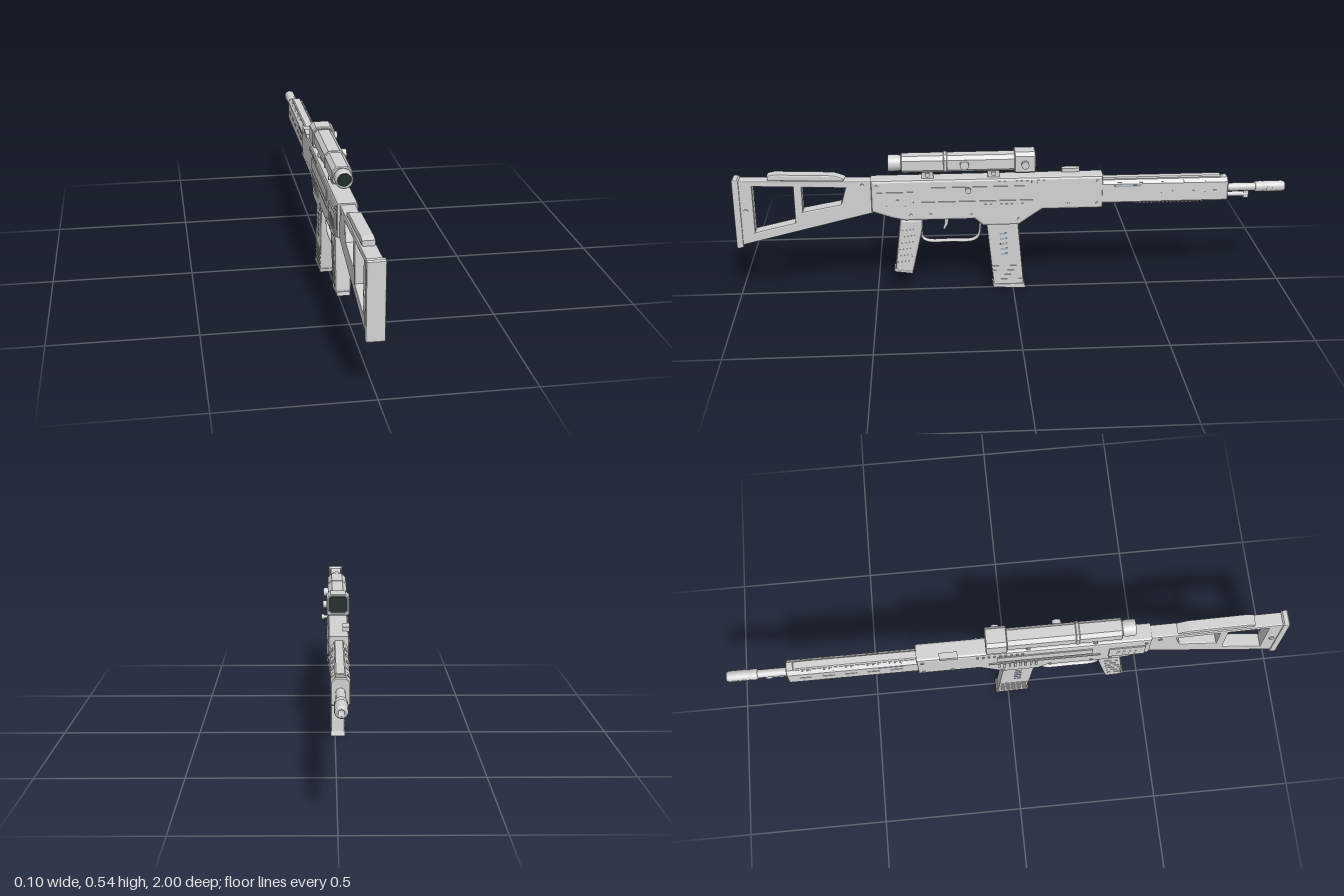
import * as THREE from 'three';

const grey = new THREE.MeshStandardMaterial({ color: 0xd2d2d2 });
grey.name = 'body grey';
const blueGrey = new THREE.MeshStandardMaterial({ color: 0x9fb2c4 });
blueGrey.name = 'pale blue grey';
const glass = new THREE.MeshStandardMaterial({ color: 0x1f2a2c });
glass.name = 'dark glass';

export function createModel() {
  const root = new THREE.Group();
  root.name = 'rifle';
  const rifle = new THREE.Group();
  rifle.name = 'rifleParts';
  rifle.position.x = -0.01;
  root.add(rifle);

  const add = (name, geo, mat = grey) => {
    const m = new THREE.Mesh(geo, mat);
    m.name = name;
    rifle.add(m);
    return m;
  };
  const box = (name, w, h, d, x, y, z, mat) => {
    const m = add(name, new THREE.BoxGeometry(w, h, d), mat);
    m.position.set(x, y, z);
    return m;
  };
  // Side profile of [z, y] points, extruded across x with bevelled edges
  const side = (name, pts, width, bevel, holes = []) => {
    const flip = (list) => list.map(([z, y]) => new THREE.Vector2(-z, y));
    const shape = new THREE.Shape(flip(pts));
    for (const h of holes) shape.holes.push(new THREE.Path(flip(h)));
    const g = new THREE.ExtrudeGeometry(shape, {
      depth: width - 2 * bevel, bevelEnabled: true, bevelSize: bevel,
      bevelThickness: bevel, bevelOffset: -bevel, bevelSegments: 2,
    });
    g.translate(0, 0, -width / 2 + bevel);
    g.rotateY(Math.PI / 2);
    return add(name, g);
  };
  // Chamfered rectangle outline: half width, bottom, top, chamfers
  const octagon = (w, b, t, ct, cb = ct) => [
    [-w + cb, b], [w - cb, b], [w, b + cb], [w, t - ct],
    [w - ct, t], [-w + ct, t], [-w, t - ct], [-w, b + cb],
  ].map(([x, y]) => new THREE.Vector2(x, y));
  // Cross-section swept along z from z0 to z1 (z0 < z1)
  const sweep = (name, outline, z0, z1, hole) => {
    const bevel = 0.003;
    const shape = new THREE.Shape(outline);
    if (hole) shape.holes.push(new THREE.Path(hole));
    const g = new THREE.ExtrudeGeometry(shape, {
      depth: z1 - z0 - 2 * bevel, bevelEnabled: true, bevelSize: bevel,
      bevelThickness: bevel, bevelOffset: -bevel, bevelSegments: 1,
    });
    g.translate(0, 0, z0 + bevel);
    return add(name, g);
  };
  // Turned part from [radius, distance] points, along +z or -z
  const turned = (name, pts, y, dir) => {
    const g = new THREE.LatheGeometry(pts.map(([r, t]) => new THREE.Vector2(r, t)), 32);
    g.rotateX(dir * Math.PI / 2);
    g.translate(0, y, 0);
    return add(name, g);
  };
  const rod = (name, r, z0, z1, y, mat) => {
    const g = new THREE.CylinderGeometry(r, r, z1 - z0, 24);
    g.rotateX(Math.PI / 2);
    g.translate(0, y, (z0 + z1) / 2);
    return add(name, g, mat);
  };
  // Pin or knob lying across x
  const pin = (name, r, len, x, y, z) => {
    const g = new THREE.CylinderGeometry(r, r, len, 16);
    g.rotateZ(Math.PI / 2);
    g.translate(x, y, z);
    return add(name, g);
  };

  // Skeleton stock, butt plate and cheek rest
  side('stock', [[0.985, 0.2], [0.5, 0.315], [0.5, 0.435], [0.6, 0.437], [0.985, 0.447]], 0.052, 0.005, [
    [[0.93, 0.425], [0.785, 0.42], [0.785, 0.283], [0.93, 0.25]],
    [[0.755, 0.418], [0.6, 0.412], [0.618, 0.35], [0.755, 0.325]],
  ]);
  side('buttPlate', [[1, 0.195], [0.994, 0.189], [0.975, 0.194], [0.975, 0.448], [0.98, 0.453], [0.996, 0.453], [1, 0.449]], 0.06, 0.005);
  side('cheekRest', [[0.875, 0.445], [0.61, 0.435], [0.6, 0.445], [0.64, 0.46], [0.85, 0.468], [0.875, 0.463]], 0.043, 0.005);

  // Receiver with magazine well
  side('receiver', [
    [0.51, 0.32], [0.44, 0.295], [0.39, 0.283], [0.14, 0.283], [0.11, 0.257], [-0.02, 0.257],
    [-0.105, 0.315], [-0.325, 0.315], [-0.325, 0.44], [0.51, 0.44],
  ], 0.07, 0.009);
  box('rearSight', 0.024, 0.015, 0.065, -0.026, 0.446, -0.212);

  // Handguard and the rods below the barrel
  sweep('handguard', octagon(0.03, 0.33, 0.418, 0.014, 0.006), -0.785, -0.32);
  sweep('handguardTop', octagon(0.017, 0.41, 0.425, 0.004), -0.76, -0.32);
  for (let i = 0; i < 18; i++) box('handguardRib', 0.04, 0.008, 0.008, 0, 0.329, -0.45 - i * 0.0142);
  rod('barrel', 0.015, -0.9, -0.78, 0.372);
  rod('gasRod', 0.009, -0.865, -0.78, 0.345);
  box('barrelLug', 0.016, 0.034, 0.018, 0, 0.348, -0.858);

  // Muzzle brake with bands and side slots
  turned('muzzleBrake', [
    [0.012, 0.89], [0.018, 0.89], [0.02, 0.895], [0.02, 0.915], [0.018, 0.918], [0.018, 0.922], [0.02, 0.925],
    [0.02, 0.99], [0.016, 1], [0.009, 1], [0.009, 0.975], [0, 0.975],
  ], 0.372, -1);
  for (let i = 0; i < 3; i++) for (const s of [-1, 1]) {
    box('brakeSlot', 0.004, 0.01, 0.012, s * 0.0188, 0.372, -0.937 - i * 0.02);
  }

  // Pistol grip with ribs
  side('grip', [[0.41, 0.287], [0.328, 0.287], [0.328, 0.25], [0.366, 0.082], [0.372, 0.074], [0.43, 0.08], [0.432, 0.1]], 0.054, 0.01);
  side('gripCap', [[0.438, 0.078], [0.37, 0.068], [0.368, 0.08], [0.436, 0.092]], 0.046, 0.003);
  for (let i = 0; i < 6; i++) {
    const y = 0.115 + i * 0.025, z = 0.4 - i * 0.0045;
    for (const s of [-1, 1]) box('gripRib', 0.003, 0.012, 0.05, s * 0.0268, y, z).rotation.x = 0.12;
  }

  // Trigger and guard
  const guard = new THREE.CatmullRomCurve3([
    [0.335, 0.235], [0.33, 0.205], [0.31, 0.192], [0.23, 0.19], [0.145, 0.192], [0.125, 0.21], [0.118, 0.275],
  ].map(([z, y]) => new THREE.Vector3(0, y, z)));
  const guardGeo = new THREE.TubeGeometry(guard, 40, 0.005, 8);
  guardGeo.scale(2.4, 1, 1);
  add('triggerGuard', guardGeo);
  side('trigger', [[0.25, 0.29], [0.232, 0.29], [0.237, 0.255], [0.25, 0.234], [0.256, 0.236], [0.249, 0.26]], 0.012, 0.002);

  // Magazine with base plate and ribs
  side('magazine', [[0.098, 0.265], [-0.018, 0.265], [-0.04, 0.014], [0.072, 0.014]], 0.05, 0.006);
  side('magazineBase', [[0.076, 0.018], [-0.042, 0.018], [-0.047, 0], [0.073, 0.004]], 0.053, 0.003);
  for (let i = 0; i < 4; i++) for (const s of [-1, 1]) {
    box('magazineRib', 0.003, 0.009, 0.102, s * 0.0252, 0.034 + i * 0.018, 0.019 + i * 0.002);
  }

  // Scope: housing, eyepiece, hood, mounts and knobs
  sweep('scopeHousing', octagon(0.034, 0.465, 0.525, 0.014, 0.01), -0.01, 0.4);
  sweep('scopeBand', octagon(0.0365, 0.463, 0.528, 0.015, 0.01), 0.235, 0.25);
  turned('eyepiece', [
    [0, 0.39], [0.027, 0.39], [0.027, 0.405], [0.03, 0.41], [0.03, 0.443], [0.028, 0.447], [0.023, 0.447], [0.023, 0.43],
  ], 0.495, 1);
  rod('rearLens', 0.0235, 0.43, 0.44, 0.495, glass);
  sweep('scopeHood', octagon(0.04, 0.458, 0.535, 0.013, 0.006), -0.08, -0.004, octagon(0.03, 0.468, 0.525, 0.006));
  box('frontLens', 0.062, 0.059, 0.008, 0, 0.4965, -0.064, glass);
  box('hoodBack', 0.062, 0.059, 0.05, 0, 0.4965, -0.034);
  for (const z of [0.307, 0.07]) {
    box('scopeMount', 0.042, 0.035, 0.042, 0, 0.457, z);
    pin('mountScrew', 0.008, 0.064, 0, 0.456, z);
  }
  pin('scopeKnob', 0.016, 0.02, 0.041, 0.495, 0.175);
  pin('hoodKnob', 0.014, 0.014, 0.047, 0.492, -0.042);

  // Charging handle on the model's left
  pin('handleStem', 0.006, 0.03, 0.042, 0.403, 0.163);
  pin('handleKnob', 0.01, 0.012, 0.054, 0.403, 0.163);

  // Raised plates, slots and rivets on both flanks
  for (const s of [-1, 1]) {
    const x = s * 0.036;
    box('rearPlate', 0.006, 0.07, 0.13, x, 0.36, 0.425);
    box('middlePlate', 0.005, 0.04, 0.34, x, 0.39, 0.13);
    box('sideRail', 0.006, 0.007, 0.4, x, 0.352, 0.13);
    for (let i = 0; i < 8; i++) box('ventBar', 0.006, 0.034, 0.008, x, 0.325, 0.1 - i * 0.019);
    for (let i = 0; i < 4; i++) box('plateBar', 0.006, 0.03, 0.01, s * 0.037, 0.352, 0.46 - i * 0.022);
    for (let i = 0; i < 9; i++) box('upperVent', 0.005, 0.01, 0.008, x, 0.424, 0.05 - i * 0.02);
    for (let i = 0; i < 5; i++) {
      box('handguardSlot', 0.006, 0.008, 0.042, s * 0.0285, 0.37, -0.4 - i * 0.08);
      box('upperSlot', 0.004, 0.008, 0.042, s * 0.0225, 0.4105, -0.4 - i * 0.08).rotation.z = s * Math.PI / 4;
      box('magazineSlot', 0.004, 0.007, 0.025, s * 0.0245, 0.14 + i * 0.02, 0.033 + i * 0.001, blueGrey);
    }
    box('handguardStrip', 0.002, 0.006, 0.1, s * 0.0298, 0.396, -0.415, blueGrey);
    for (const [z, y] of [[0.49, 0.418], [0.37, 0.305], [0.3, 0.305], [0.15, 0.3], [-0.02, 0.28], [-0.2, 0.335], [-0.305, 0.335], [-0.305, 0.42]]) {
      pin('rivet', 0.006, 0.005, x, y, z);
    }
    pin('stockBolt', 0.01, 0.006, s * 0.027, 0.33, 0.957);
    pin('stockPin', 0.007, 0.006, s * 0.027, 0.42, 0.54);
  }
  return root;
}
